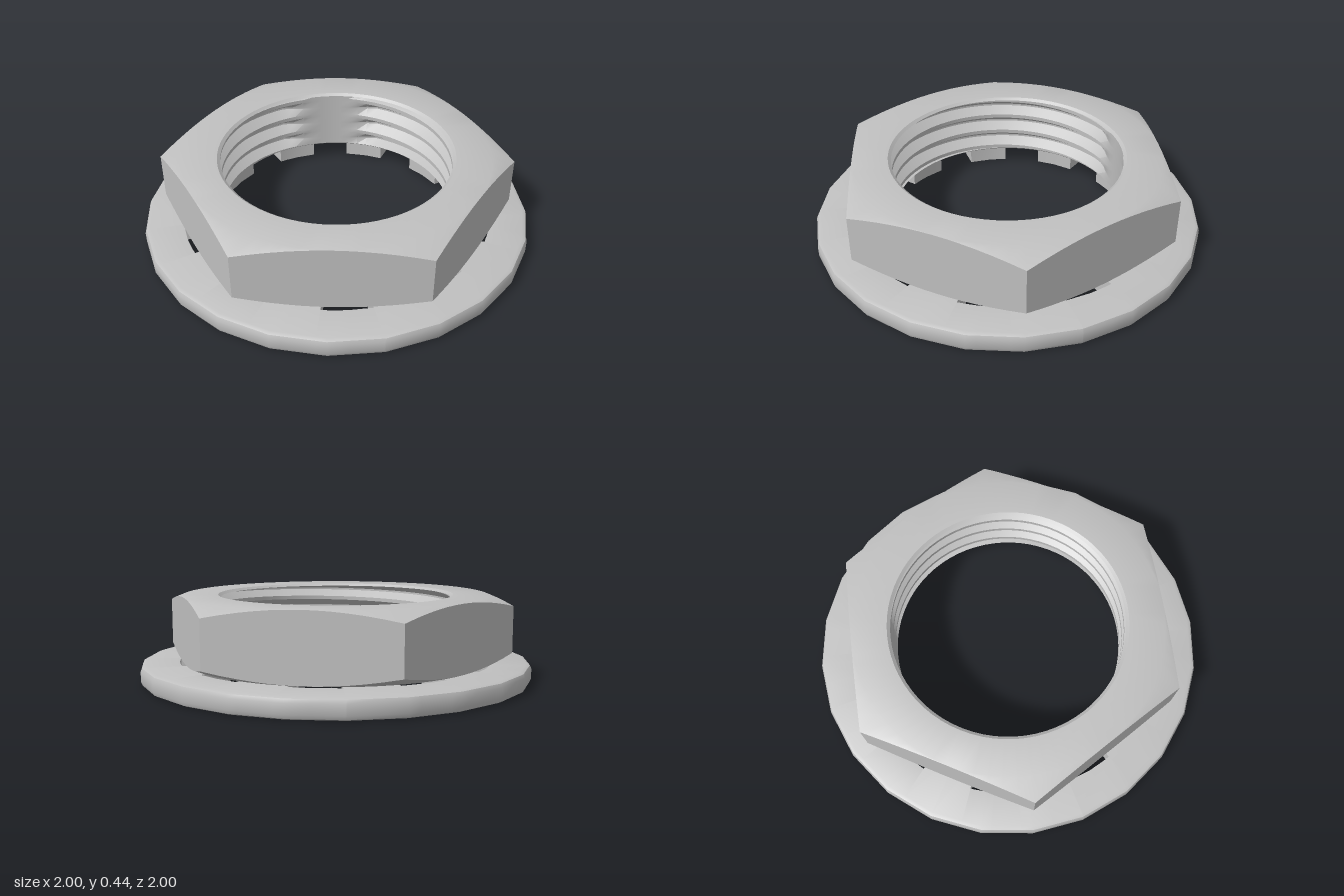
import * as THREE from 'three';
import { toCreasedNormals } from 'three/addons/utils/BufferGeometryUtils.js';

const RAD = Math.PI / 180;

// Skin a list of rings; each ring is a closed section of [radius, y] at one azimuth
function skinRings(rings) {
  const pos = [];
  const point = (ring, j) => {
    const [r, y] = ring.section[j % ring.section.length];
    return [r * Math.sin(ring.az * RAD), y, r * Math.cos(ring.az * RAD)];
  };
  for (let i = 0; i + 1 < rings.length; i++) {
    for (let j = 0; j < rings[i].section.length; j++) {
      const a = point(rings[i], j), b = point(rings[i + 1], j);
      const c = point(rings[i + 1], j + 1), d = point(rings[i], j + 1);
      pos.push(...a, ...b, ...c, ...a, ...c, ...d);
    }
  }
  const geo = new THREE.BufferGeometry();
  geo.setAttribute('position', new THREE.Float32BufferAttribute(pos, 3));
  return toCreasedNormals(geo, 28 * RAD);
}

// Radius of a regular polygon in the direction az
function polygonRadius(az, sides, corner, cornerAz) {
  const step = 360 / sides;
  const off = ((((az - cornerAz) % step) + step) % step) - step / 2;
  return corner * Math.cos(step / 2 * RAD) / Math.cos(off * RAD);
}

// Hexagon body with chamfered corners and a helical thread in the bore
function hexNut() {
  const y0 = 0.1, y1 = 0.435, flat = 0.783, bore = 0.59, pitch = 0.1;
  const startAz = 205.8, steps = 72, rings = [];
  const thread = [[0.9, 0], [0.55, 1], [0.45, 1], [0.1, 0]];
  for (let i = 0; i <= steps; i++) {
    const t = i / steps, az = startAz + 360 * t;
    const r = polygonRadius(az, 6, 0.906, 50.8);
    const drop = (r - flat) * 0.4;
    const section = [[0.605, y0], [flat, y0], [r, y0 + drop], [r, y1 - drop], [flat, y1], [0.605, y1]];
    // The thread fades out into a plain strip at the seam
    const seam = 360 * Math.min(t, 1 - t);
    const depth = 0.05 * THREE.MathUtils.clamp((seam - 12) / 12, 0, 1);
    for (let n = 3; n >= -1; n--) {
      for (const [f, d] of thread) {
        const y = THREE.MathUtils.clamp(y0 + pitch * (n + f + t), y0 + 0.012, y1 - 0.012);
        section.push([bore + depth * d, y]);
      }
    }
    rings.push({ az, section });
  }
  return skinRings(rings);
}

// Round washer with ten internal teeth and softened outer edges
function toothedWasher() {
  const teeth = 10, sides = 24, firstTooth = 7.8, halfTooth = 9.3;
  const top = 0.1, bevel = 0.025, cuts = [];
  const tip = 0.645, root = 0.805;
  for (let i = 0; i < teeth; i++) {
    const mid = firstTooth + i * 36, a = mid - halfTooth, b = mid + halfTooth;
    cuts.push([a, root], [a, tip], [mid, tip], [b, tip], [b, root], [mid + 18, root]);
  }
  // Insert the corners of the outer polygon between the tooth edges
  const end = cuts[0][0] + 360;
  cuts.push([end, root]);
  const all = [];
  for (let i = 0; i < cuts.length; i++) {
    all.push(cuts[i]);
    if (i + 1 === cuts.length) break;
    for (let k = 0; k <= sides; k++) {
      const az = 4.9 + (k - 1) * 360 / sides;
      if (az > cuts[i][0] + 0.01 && az < cuts[i + 1][0] - 0.01) all.push([az, cuts[i][1]]);
    }
  }
  const rings = all.map(([az, inner]) => {
    const r = polygonRadius(az, sides, 1.002, 4.9);
    return {
      az,
      section: [
        [inner, 0], [r - bevel, 0], [r - bevel * 0.3, bevel * 0.3], [r, bevel],
        [r, top - bevel], [r - bevel * 0.3, top - bevel * 0.3], [r - bevel, top], [inner, top],
      ],
    };
  });
  return skinRings(rings);
}

export function createModel() {
  const steel = new THREE.MeshStandardMaterial({ color: 0xc0c0c0 });
  steel.name = 'steel grey';
  const group = new THREE.Group();
  group.name = 'hexNutWithWasher';
  const add = (name, geometry) => {
    const mesh = new THREE.Mesh(geometry, steel);
    mesh.name = name;
    group.add(mesh);
  };
  add('hexNut', hexNut());
  add('toothedWasher', toothedWasher());
  return group;
}
